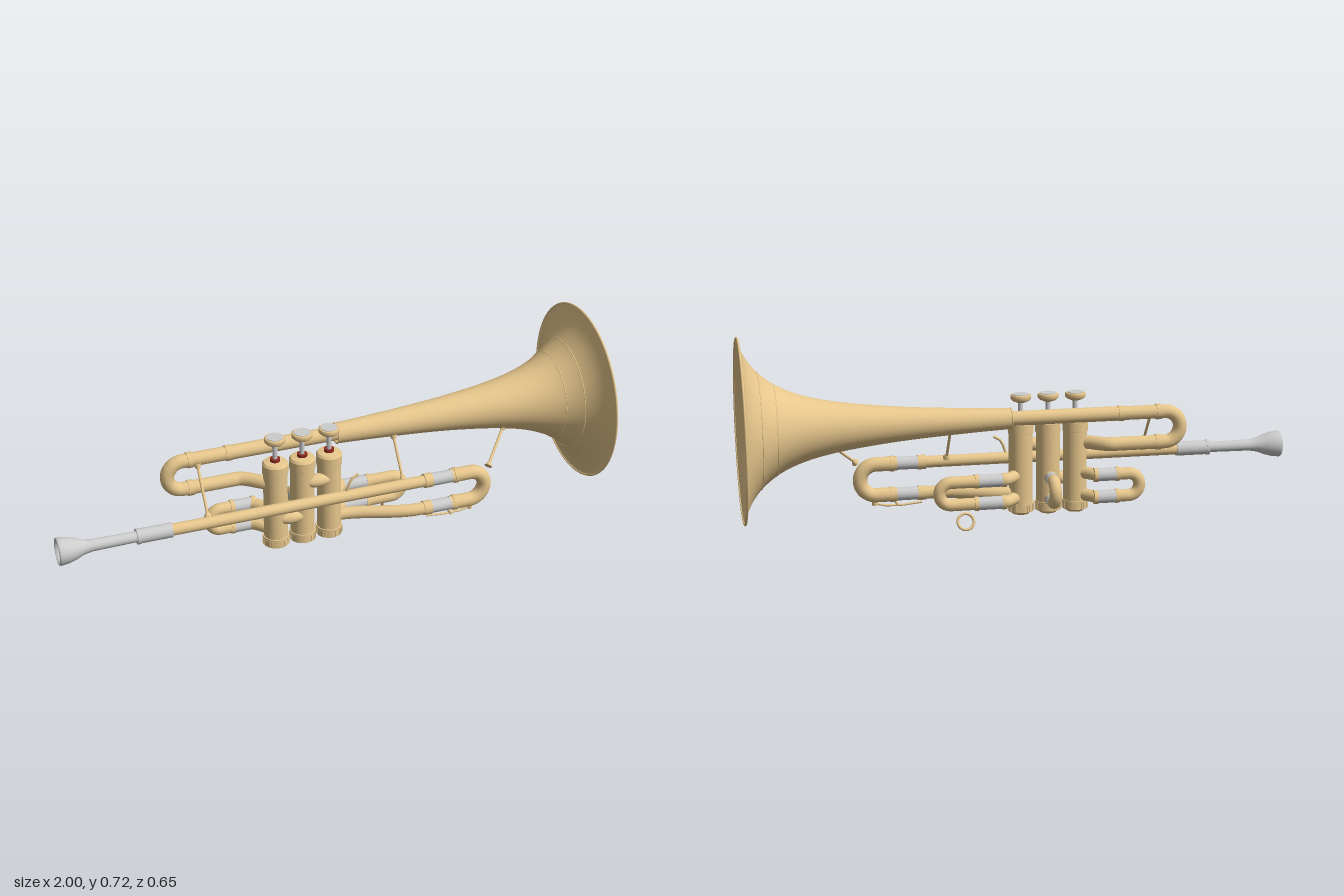
import * as THREE from 'three';

const brass = new THREE.MeshStandardMaterial({ color: 0xe6c68c, side: THREE.DoubleSide });
const silver = new THREE.MeshStandardMaterial({ color: 0xcccccc, side: THREE.DoubleSide });
const red = new THREE.MeshStandardMaterial({ color: 0x8c2a22 });
const V = (x, y, z) => new THREE.Vector3(x, y, z);
const BELL_Y = 0.395, LEAD_Y = 0.217, LEAD_Z = 0.14, VALVE_Z = 0.07;

export function createModel() {
  const root = new THREE.Group();

  const add = (name, geometry, material = brass, parent = root) => {
    const mesh = new THREE.Mesh(geometry, material);
    mesh.name = name;
    parent.add(mesh);
    return mesh;
  };

  // Straight capped rod between two points
  const rod = (name, a, b, r, material = brass, r2 = r) => {
    const d = b.clone().sub(a);
    const mesh = add(name, new THREE.CylinderGeometry(r2, r, d.length(), 24), material);
    mesh.position.copy(a).addScaledVector(d, 0.5);
    mesh.quaternion.setFromUnitVectors(V(0, 1, 0), d.normalize());
    return mesh;
  };
  const rodX = (name, x1, x2, y, z, r, material) => rod(name, V(x1, y, z), V(x2, y, z), r, material);

  // Bent tube following a polyline
  const tube = (name, points, r, segments = 110) => {
    const path = new THREE.CurvePath();
    for (let i = 1; i < points.length; i++) path.add(new THREE.LineCurve3(points[i - 1], points[i]));
    return add(name, new THREE.TubeGeometry(path, segments, r, 16));
  };

  // Half circle from upper height y1 to lower y2, bulging along dir from base
  const bow = (base, dir, y1, y2) => {
    const r = (y1 - y2) / 2, points = [];
    for (let i = 0; i <= 20; i++) {
      const a = Math.PI * i / 20;
      const p = base.clone().addScaledVector(dir, r * Math.sin(a));
      p.y = (y1 + y2) / 2 + r * Math.cos(a);
      points.push(p);
    }
    return points;
  };

  // Smooth bend between two points that both run along x
  const sway = (a, b) => Array.from({ length: 13 }, (_, i) => {
    const t = i / 12;
    return V(a.x + (b.x - a.x) * t, a.y, a.z + (b.z - a.z) * t * t * (3 - 2 * t));
  });

  // Lathe of [x, radius] pairs turned around an axis along x
  const latheX = (name, profile, y, z, material) => {
    const g = new THREE.LatheGeometry(profile.map(([x, r]) => new THREE.Vector2(r, x)), 64);
    g.rotateZ(-Math.PI / 2);
    const mesh = add(name, g, material);
    mesh.position.set(0, y, z);
    return mesh;
  };

  // Ring around an axis along x
  const ringX = (name, x, y, z, r, t) => {
    const mesh = add(name, new THREE.TorusGeometry(r, t, 8, 64).rotateY(Math.PI / 2));
    mesh.position.set(x, y, z);
  };

  // Flared bell with rim bead and seams
  const flare = new THREE.SplineCurve([
    [0.05, 0.037], [0.2, 0.044], [0.4, 0.057], [0.55, 0.072], [0.68, 0.091], [0.78, 0.115],
    [0.86, 0.148], [0.92, 0.19], [0.96, 0.235], [0.985, 0.28], [0.997, 0.322],
  ].map(([x, r]) => new THREE.Vector2(x, r)));
  latheX('bell', flare.getPoints(60).map(p => [p.x, p.y]), BELL_Y, 0, brass);
  ringX('bellRim', 0.996, BELL_Y, 0, 0.321, 0.004);
  ringX('bellSeam', 0.88, BELL_Y, 0, 0.159, 0.002);
  ringX('bellSeam', 0.933, BELL_Y, 0, 0.2025, 0.002);
  ringX('bellCollar', 0.05, BELL_Y, 0, 0.036, 0.003);

  // Bell tail and rear bow, leading into the first valve
  rodX('bellTail', -0.36, 0.08, BELL_Y, 0, 0.026);
  tube('bellBow', [
    V(-0.35, BELL_Y, 0), ...bow(V(-0.515, 0, 0), V(-1, 0, 0), BELL_Y, 0.283),
    ...sway(V(-0.32, 0.283, 0), V(-0.2, 0.283, VALVE_Z)),
  ], 0.025);
  for (const x of [-0.36, -0.5]) rodX('bowFerrule', x, x + 0.02, BELL_Y, 0, 0.028);
  rodX('bowFerrule', -0.5, -0.48, 0.283, 0, 0.028);

  // Mouthpiece with hollow cup
  latheX('mouthpiece', [
    [-0.72, 0.019], [-0.88, 0.021], [-0.91, 0.026], [-0.94, 0.038], [-0.965, 0.045], [-0.98, 0.047],
    [-0.995, 0.049], [-1, 0.046], [-1, 0.042], [-0.99, 0.038], [-0.965, 0.033], [-0.94, 0.02],
    [-0.92, 0.008], [-0.91, 0],
  ], LEAD_Y, LEAD_Z, silver);
  rodX('mouthpieceReceiver', -0.725, -0.6, LEAD_Y, LEAD_Z, 0.026, silver);
  rodX('receiverRing', -0.725, -0.713, LEAD_Y, LEAD_Z, 0.028, silver);
  rodX('leadPipe', -0.61, 0.37, LEAD_Y, LEAD_Z, 0.021);

  // Main tuning slide
  const lowY = 0.103;
  tube('mainSlideBow', [
    V(0.44, LEAD_Y, LEAD_Z), ...bow(V(0.515, 0, LEAD_Z), V(1, 0, 0), LEAD_Y, lowY), V(0.44, lowY, LEAD_Z),
  ], 0.026);
  tube('mainSlideReturn', [
    V(0.37, lowY, LEAD_Z), ...sway(V(0.32, lowY, LEAD_Z), V(0.02, lowY, VALVE_Z)),
  ], 0.023, 50);
  for (const y of [LEAD_Y, lowY]) {
    rodX('mainSlideSleeve', 0.36, 0.45, y, LEAD_Z, 0.0235, silver);
    rodX('mainSlideFerrule', 0.335, 0.365, y, LEAD_Z, 0.026);
    rodX('mainSlideFerrule', 0.45, 0.465, y, LEAD_Z, 0.028);
  }

  // Water key under the main slide
  tube('waterKeyLever', [V(0.35, 0.069, 0.14), V(0.42, 0.062, 0.14), V(0.48, 0.063, 0.14), V(0.53, 0.075, 0.14)], 0.004, 24);
  rod('waterKeyCork', V(0.52, 0.09, 0.14), V(0.52, 0.066, 0.14), 0.01);
  rod('waterKeyPivot', V(0.44, 0.068, 0.122), V(0.44, 0.068, 0.158), 0.005);

  // First and third valve slides, behind the valves
  const sideSlide = (name, valveX, dir, bowX, sleeveA, sleeveB) => {
    const top = 0.172, bottom = 0.09, inX = valveX + dir * 0.08;
    tube(name, [
      ...sway(V(valveX, top, VALVE_Z - 0.01), V(inX, top, 0)),
      ...bow(V(bowX, 0, 0), V(dir, 0, 0), top, bottom),
      ...sway(V(valveX, bottom, VALVE_Z - 0.01), V(inX, bottom, 0)).reverse(),
    ], 0.022, 130);
    for (const y of [top, bottom]) {
      rodX(name + 'Sleeve', sleeveA, sleeveB, y, 0, 0.0235, silver);
      for (const x of [sleeveA, sleeveB]) rodX(name + 'Ferrule', x - 0.007, x + 0.007, y, 0, 0.0255);
    }
  };
  sideSlide('firstSlide', -0.2, -1, -0.382, -0.34, -0.26);
  sideSlide('thirdSlide', 0, 1, 0.267, 0.075, 0.175);

  // Second valve slide, pointing back
  tube('secondSlide', [
    V(-0.1, 0.165, VALVE_Z), ...bow(V(-0.1, 0, -0.022), V(0, 0, -1), 0.165, 0.085), V(-0.1, 0.085, VALVE_Z),
  ], 0.022);
  for (const y of [0.165, 0.085]) rod('secondSlideSleeve', V(-0.1, y, 0.01), V(-0.1, y, -0.018), 0.0235, silver);

  // Finger ring under the third slide
  const ring = add('fingerRing', new THREE.TorusGeometry(0.029, 0.005, 10, 32));
  ring.position.set(0.22, 0.036, -0.034);
  ring.rotation.x = 0.43;
  // Finger hook on the lead pipe
  tube('fingerHook', [V(0.04, 0.232, 0.14), V(0.05, 0.265, 0.14), V(0.062, 0.285, 0.14), V(0.085, 0.298, 0.14)], 0.005, 24);

  // Valves
  const valveProfile = [
    [0, 0.022], [0.012, 0.022], [0.03, 0.027], [0.04, 0.036], [0.047, 0.038], [0.047, 0.07], [0.043, 0.07],
    [0.043, 0.325], [0.046, 0.325], [0.046, 0.36], [0.04, 0.368], [0.014, 0.372], [0, 0.372],
  ];
  // Doubled points keep the steps of the turned profile crisp
  const casing = valveProfile.flatMap(([r, y]) => [new THREE.Vector2(r, y), new THREE.Vector2(r, y + 0.0004)]);
  [-0.2, -0.1, 0].forEach((x, i) => {
    const valve = new THREE.Group();
    valve.name = 'valve' + (i + 1);
    valve.position.set(x, 0, VALVE_Z);
    root.add(valve);
    const disc = (name, r, y1, y2, material) => {
      add(name, new THREE.CylinderGeometry(r, r, y2 - y1, 32), material, valve).position.y = (y1 + y2) / 2;
    };
    add('valveCasing', new THREE.LatheGeometry(casing, 40), brass, valve);
    disc('felt', 0.018, 0.37, 0.382, red);
    disc('valveStem', 0.009, 0.38, 0.44, silver);
    add('fingerButton', new THREE.LatheGeometry([
      [0, 0.436], [0.014, 0.436], [0.03, 0.443], [0.037, 0.45], [0.037, 0.462], [0.033, 0.465], [0, 0.465],
    ].map(([r, y]) => new THREE.Vector2(r, y)), 32), brass, valve);
    disc('buttonInlay', 0.029, 0.46, 0.467, silver);
    // Knurled grip on the bottom cap
    for (let k = 0; k < 32; k++) {
      const a = k / 32 * Math.PI * 2;
      const rib = add('capRib', new THREE.BoxGeometry(0.004, 0.024, 0.004), brass, valve);
      rib.position.set(0.0465 * Math.sin(a), 0.052, 0.0465 * Math.cos(a));
      rib.rotation.y = a;
    }
  });

  // Short knuckles joining neighbouring valves
  for (const [x, y] of [[-0.05, 0.275], [-0.15, 0.145]]) {
    const knuckle = add('valveKnuckle', new THREE.SphereGeometry(1, 32, 20));
    knuckle.scale.set(0.055, 0.024, 0.025);
    knuckle.position.set(x, y, 0.094);
  }

  // Braces with small flanges
  for (const [a, b] of [
    [V(-0.465, 0.38, 0.016), V(-0.465, 0.232, 0.128)],
    [V(0.26, 0.36, 0.03), V(0.26, 0.232, 0.128)],
    [V(0.685, 0.322, 0.045), V(0.587, 0.228, 0.14)],
  ]) {
    rod('brace', a, b, 0.005);
    rod('braceFlange', a, a.clone().lerp(b, 0.08), 0.014, brass, 0.007);
    rod('braceFlange', b, b.clone().lerp(a, 0.08), 0.014, brass, 0.007);
  }
  return root;
}
